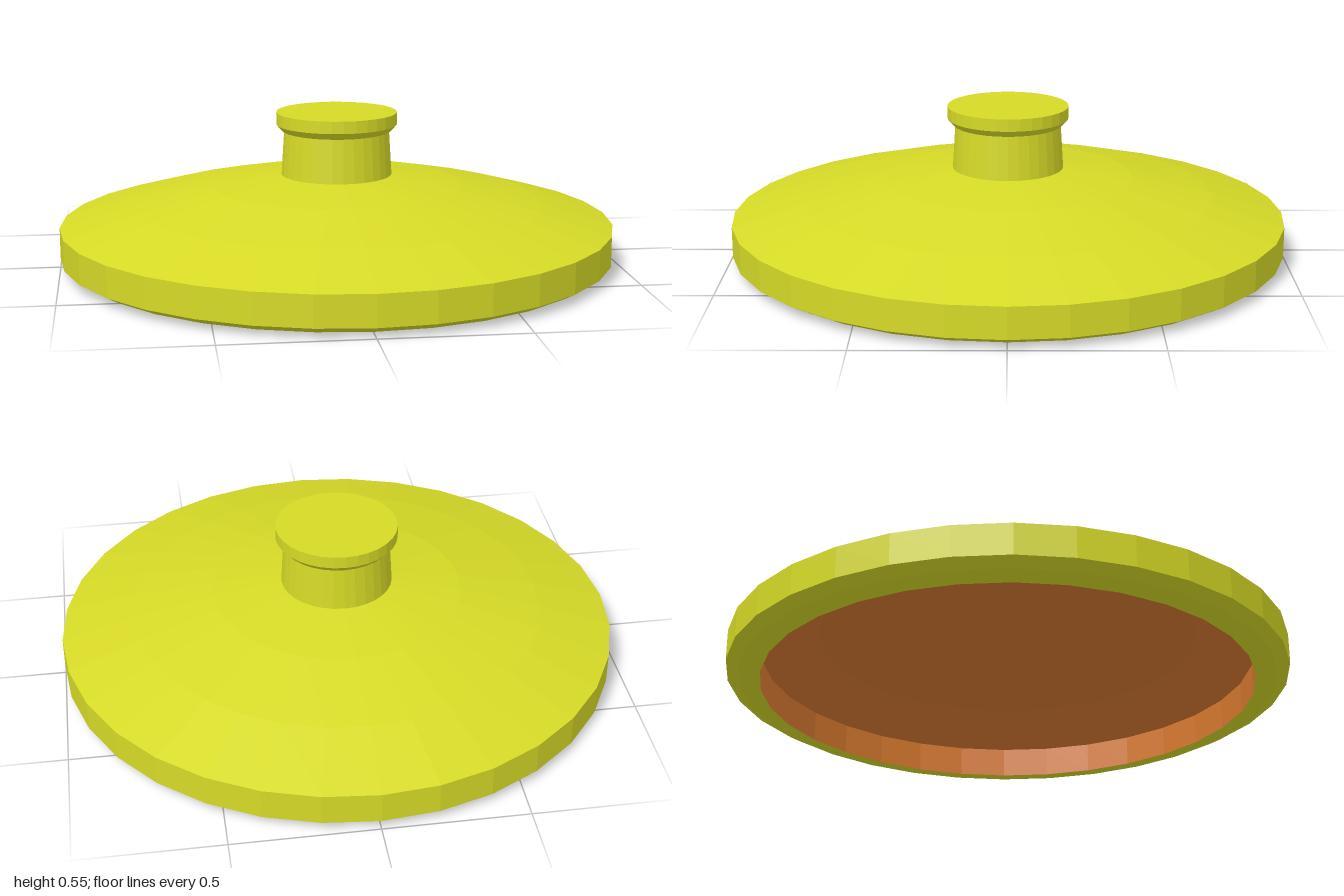
import * as THREE from 'three';

const SIDES = 32;

const yellow = new THREE.MeshStandardMaterial({ color: 0xd6da26, flatShading: true });
yellow.name = 'yellow glaze';
const orange = new THREE.MeshStandardMaterial({ color: 0xd97a30, flatShading: true });
orange.name = 'orange clay';

// Turns a [radius, height] profile into a faceted solid of revolution
function turned(name, profile, material) {
  const points = profile.map(([r, y]) => new THREE.Vector2(r, y));
  const mesh = new THREE.Mesh(new THREE.LatheGeometry(points, SIDES), material);
  mesh.name = name;
  return mesh;
}

export function createModel() {
  const lid = new THREE.Group();
  lid.name = 'lid';

  // Bottom lip, bevel and upright rim
  lid.add(turned('rim', [[0.88, 0], [0.955, 0.01], [1, 0.035], [1, 0.145]], yellow));

  // Shallow dome, running up to the foot of the knob
  lid.add(turned('dome', [[1, 0.145], [0.74, 0.22], [0.45, 0.285], [0.2, 0.32]], yellow));

  // Knob: tapered neck, flared underside and flat cap
  lid.add(turned('knob', [
    [0.2, 0.32], [0.19, 0.478], [0.197, 0.48], [0.218, 0.503], [0.218, 0.547], [0, 0.547],
  ], yellow));

  // Hollow underside: flat ceiling, sloped shoulder and inner wall
  lid.add(turned('innerLining', [[0, 0.204], [0.68, 0.204], [0.88, 0.11], [0.88, 0]], orange));

  return lid;
}
